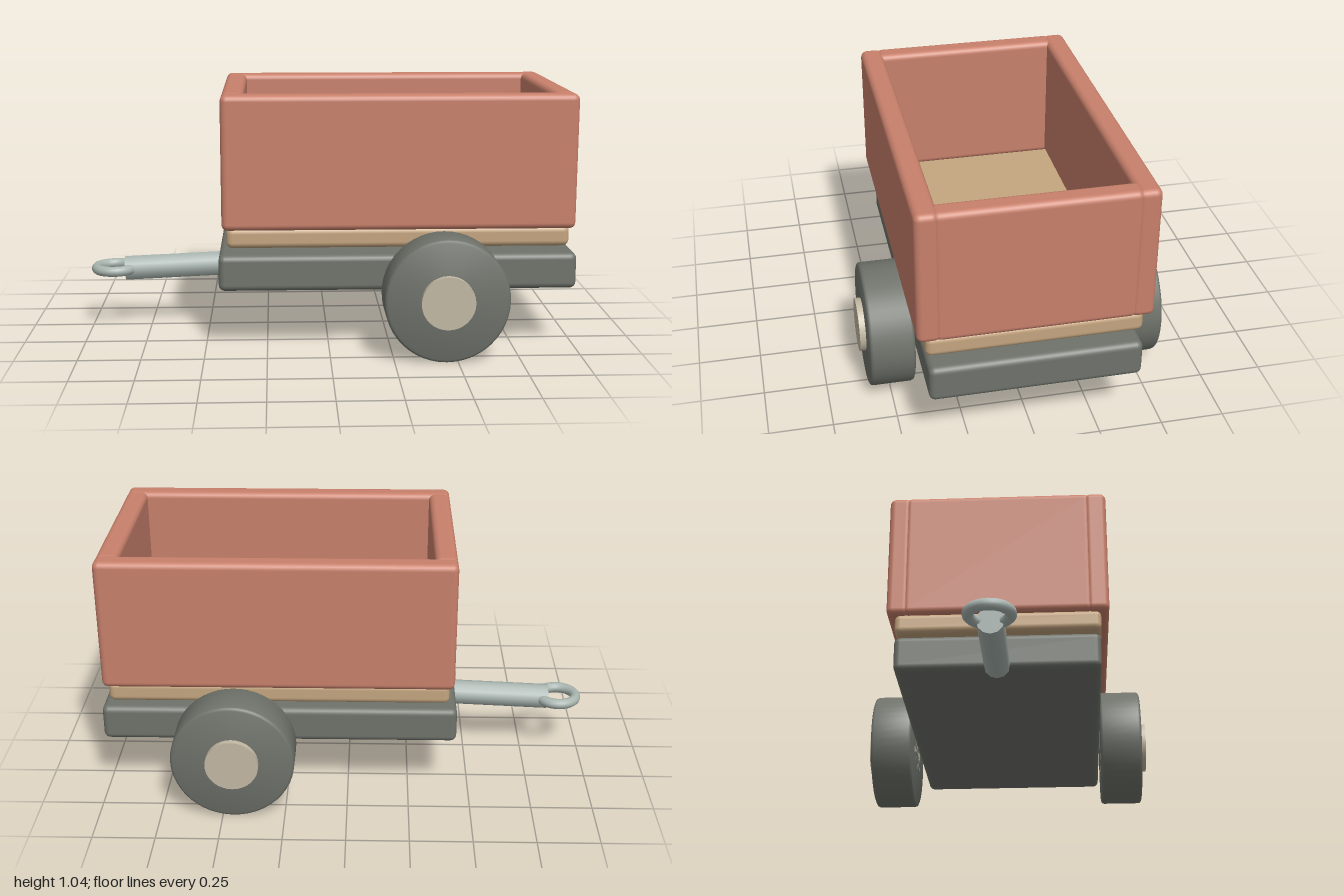
import * as THREE from 'three';
import { RoundedBoxGeometry } from 'three/addons/geometries/RoundedBoxGeometry.js';
import { toCreasedNormals } from 'three/addons/utils/BufferGeometryUtils.js';

function makeMaterial(name, color) {
  const material = new THREE.MeshStandardMaterial({ color });
  material.name = name;
  return material;
}

export function createModel() {
  const red = makeMaterial('clay red', 0xc8806b);
  const grey = makeMaterial('dark grey', 0x6f736b);
  const wood = makeMaterial('wood tan', 0xc4a57f);
  const steel = makeMaterial('pale steel', 0xa9b5b0);
  const cream = makeMaterial('hub cream', 0xc2b8a3);

  const trailer = new THREE.Group();
  trailer.name = 'trailer';

  function add(name, geometry, material, x = 0, y = 0, z = 0) {
    const mesh = new THREE.Mesh(geometry, material);
    mesh.name = name;
    mesh.position.set(x, y, z);
    trailer.add(mesh);
    return mesh;
  }

  // Rounded box given by its extents in x and y, and its centre and depth in z
  function addBox(name, material, x0, x1, y0, y1, depth, z = 0) {
    const geometry = new RoundedBoxGeometry(x1 - x0, y1 - y0, depth, 3, 0.025);
    return add(name, geometry, material, (x0 + x1) / 2, (y0 + y1) / 2, z);
  }

  // Chassis and floor
  addBox('chassis', grey, -0.443, 0.996, 0.248, 0.394, 0.815);
  addBox('floor', wood, -0.41, 0.96, 0.425, 0.51, 0.826);

  // Tub: long sides run the full length, end walls fit between them
  for (const side of [1, -1]) {
    const label = side > 0 ? 'left' : 'right';
    addBox(label + 'Wall', red, -0.427, 0.978, 0.503, 1.04, 0.09, side * 0.401);
  }
  addBox('drawbarEndWall', red, -0.427, -0.337, 0.503, 1.04, 0.76);
  addBox('tailWall', red, 0.888, 0.978, 0.503, 1.04, 0.76);

  // Wheels with softened rims, and hub caps
  const wheelX = 0.455, wheelY = 0.247, r = 0.247, half = 0.088, soft = 0.012;
  const tyreProfile = [
    [0, -half], [r - soft, -half], [r - soft * 0.3, -half + soft * 0.3], [r, -half + soft],
    [r, half - soft], [r - soft * 0.3, half - soft * 0.3], [r - soft, half], [0, half],
  ].map(([a, b]) => new THREE.Vector2(a, b));
  const tyre = toCreasedNormals(new THREE.LatheGeometry(tyreProfile, 48).rotateX(Math.PI / 2), 0.9);
  const hub = new THREE.CylinderGeometry(0.106, 0.106, 0.2, 32).rotateX(Math.PI / 2);
  for (const side of [1, -1]) {
    const label = side > 0 ? 'left' : 'right';
    add(label + 'Wheel', tyre, grey, wheelX, wheelY, side * 0.498);
    add(label + 'Hub', hub, cream, wheelX, wheelY, side * 0.51);
  }

  // Drawbar, tilted slightly down towards the hitch
  const drawbar = new THREE.CylinderGeometry(0.052, 0.052, 0.44, 12).rotateZ(Math.PI / 2);
  add('drawbar', drawbar, steel, -0.635, 0.259, 0).rotation.z = 0.045;

  // Hitch ring
  const ring = new THREE.TorusGeometry(0.078, 0.022, 12, 32).rotateX(Math.PI / 2);
  add('hitchRing', ring, steel, -0.9, 0.252, 0);

  return trailer;
}
